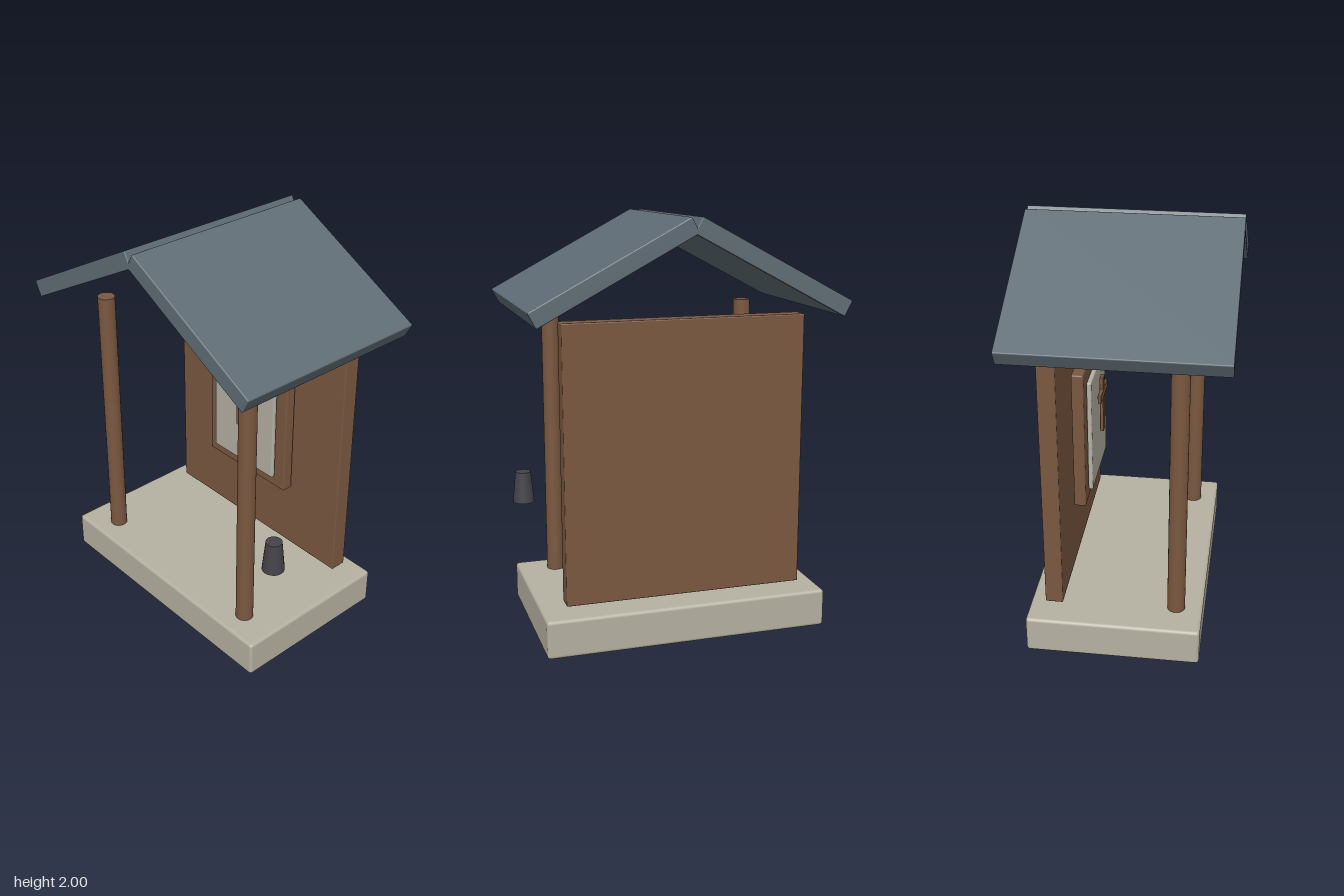
import * as THREE from 'three';
import { RoundedBoxGeometry } from 'three/addons/geometries/RoundedBoxGeometry.js';

export function createModel() {
  const group = new THREE.Group();
  const mat = (name, color) => {
    const m = new THREE.MeshStandardMaterial({ color });
    m.name = name;
    return m;
  };
  const wood = mat('wood', 0x7a5840);
  const stone = mat('stone', 0xb5b0a1);
  const paper = mat('paper', 0xb5b1a4);
  const slate = mat('slate', 0x5f6c75);
  const iron = mat('iron', 0x444449);

  const add = (name, geometry, material, x, y, z) => {
    const mesh = new THREE.Mesh(geometry, material);
    mesh.name = name;
    mesh.position.set(x, y, z);
    group.add(mesh);
    return mesh;
  };
  // Softly bevelled box given by its minimum and maximum corners
  const slab = (name, material, [x0, y0, z0], [x1, y1, z1], bevel) =>
    add(name, new RoundedBoxGeometry(x1 - x0, y1 - y0, z1 - z0, 2, bevel), material,
      (x0 + x1) / 2, (y0 + y1) / 2, (z0 + z1) / 2);

  // Plinth and back wall
  slab('base', stone, [-0.69, 0, -0.44], [0.69, 0.185, 0.395], 0.016);
  slab('backWall', wood, [-0.58, 0.217, -0.36], [0.58, 1.54, -0.275], 0.006);

  // Notice board with its panel and cross
  slab('boardFrame', wood, [-0.276, 0.578, -0.265], [0.276, 1.29, -0.207], 0.008);
  slab('boardPanel', paper, [-0.216, 0.64, -0.203], [0.216, 1.224, -0.18], 0.008);
  slab('crossUpright', wood, [-0.024, 0.865, -0.172], [0.024, 1.16, -0.153], 0.004);
  slab('crossBar', wood, [-0.095, 1.055, -0.17], [0.095, 1.1, -0.151], 0.004);

  for (const side of [-1, 1]) {
    // Front posts
    add(side > 0 ? 'leftPost' : 'rightPost',
      new THREE.CylinderGeometry(0.043, 0.043, 1.36, 20), wood, side * 0.505, 0.863, 0.267);
    // Roof slopes, meeting in a notch at the ridge
    const roof = add(side > 0 ? 'leftRoof' : 'rightRoof',
      new RoundedBoxGeometry(0.828, 0.081, 1.005, 2, 0.006), slate, side * 0.371, 1.769, 0);
    roof.rotation.z = -side * 0.491;
  }

  // Small bell beside the left post
  add('bell', new THREE.CylinderGeometry(0.039, 0.054, 0.156, 20), iron, 0.665, 0.64, 0.24);

  return group;
}
